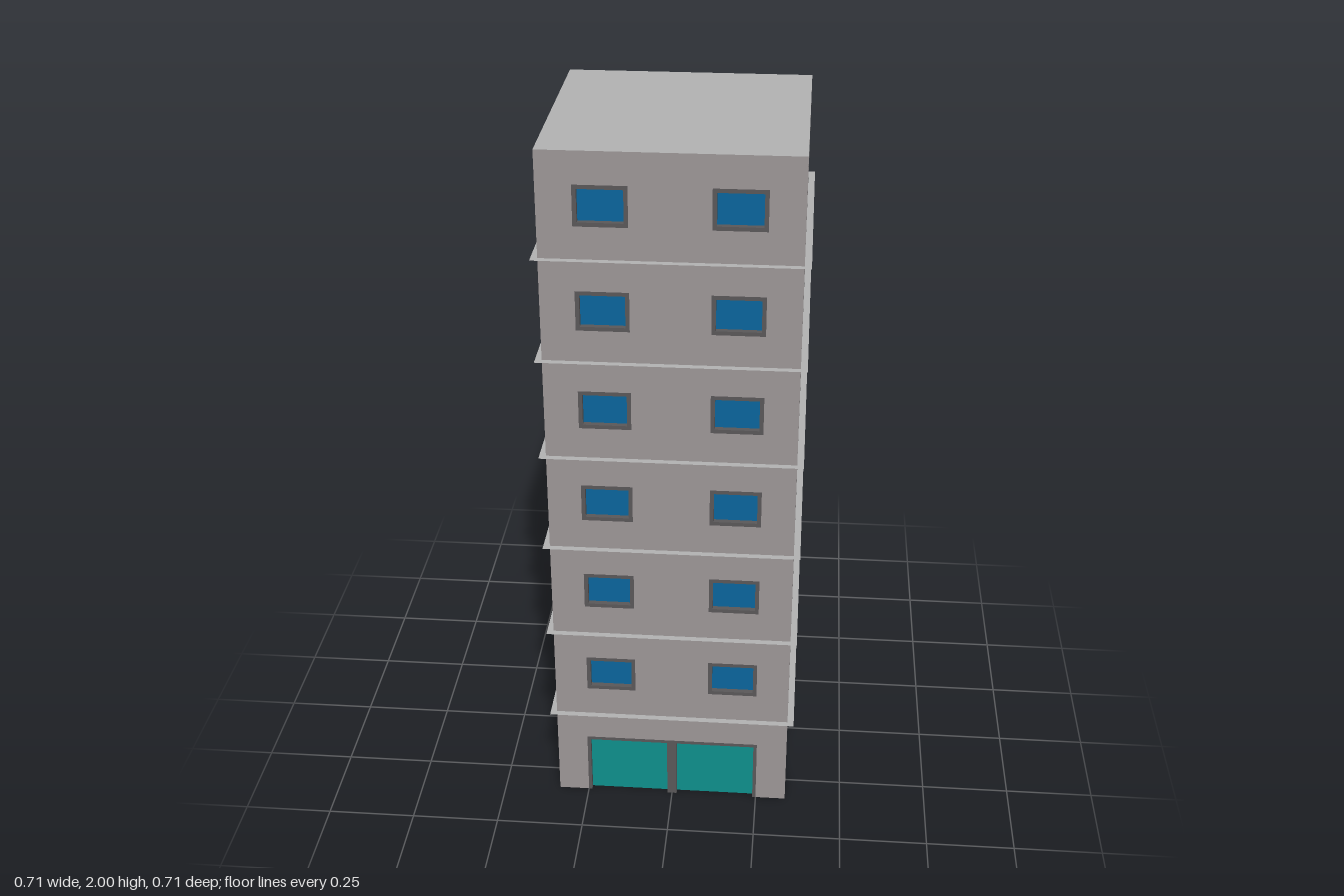
import * as THREE from 'three';

const HALF = 0.337, LEDGE = 0.355, FLOORS = 7, STOREY = 2 / FLOORS;
const DEPTH = 0.015; // how far the glass sits behind the wall face
const WIN = { x: 0.175, w: 0.14, h: 0.11, rim: 0.011 };
const DOOR = { half: 0.25, h: 0.197, rim: 0.01, post: 0.014 };

const mat = (color) => new THREE.MeshStandardMaterial({ color, side: THREE.DoubleSide });
const wallMat = mat(0x9c9696);
const slabMat = mat(0xb2b2b2);
const frameMat = mat(0x5a5859);
const glassMat = mat(0x0a659c);
const doorMat = mat(0x0e908c);

function mesh(name, geometry, material, z = 0) {
  const m = new THREE.Mesh(geometry, material);
  m.name = name;
  m.position.z = z;
  return m;
}

const polygon = (pts) => new THREE.Shape(pts.map(([x, y]) => new THREE.Vector2(x, y)));

const rect = (cx, cy, w, h) => polygon([
  [cx - w / 2, cy - h / 2], [cx + w / 2, cy - h / 2],
  [cx + w / 2, cy + h / 2], [cx - w / 2, cy + h / 2],
]);

const recessed = (shape) => new THREE.ExtrudeGeometry(shape, { depth: DEPTH, bevelEnabled: false });

// One side of the tower, facing +z
function facade() {
  const g = new THREE.Group();
  const { half: d, h, rim, post } = DOOR;

  // Wall sheet with a door notch and window holes
  const wall = polygon([
    [-HALF, 0], [-d, 0], [-d, h], [d, h], [d, 0], [HALF, 0], [HALF, 2], [-HALF, 2],
  ]);

  // Two windows on each upper storey
  for (let floor = 1; floor < FLOORS; floor++) {
    const y = (floor + 0.5) * STOREY;
    for (const x of [-WIN.x, WIN.x]) {
      wall.holes.push(rect(x, y, WIN.w, WIN.h));
      const w = WIN.w - 2 * WIN.rim, ph = WIN.h - 2 * WIN.rim;
      const frame = rect(x, y, WIN.w, WIN.h);
      frame.holes.push(rect(x, y, w, ph));
      g.add(mesh('windowFrame', recessed(frame), frameMat, HALF - DEPTH));
      g.add(mesh('windowPane', new THREE.ShapeGeometry(rect(x, y, w, ph)), glassMat, HALF - DEPTH));
    }
  }
  g.add(mesh('wall', new THREE.ShapeGeometry(wall), wallMat, HALF));

  // Double entrance: surround with a centre post, open at the ground
  const inner = d - rim, top = h - rim;
  const surround = polygon([
    [-d, 0], [-inner, 0], [-inner, top], [-post, top], [-post, 0], [post, 0],
    [post, top], [inner, top], [inner, 0], [d, 0], [d, h], [-d, h],
  ]);
  g.add(mesh('doorFrame', recessed(surround), frameMat, HALF - DEPTH));
  for (const s of [-1, 1]) {
    const leaf = rect(s * (inner + post) / 2, top / 2, inner - post, top);
    g.add(mesh('doorPanel', new THREE.ShapeGeometry(leaf), doorMat, HALF - DEPTH));
  }
  return g;
}

export function createModel() {
  const model = new THREE.Group();
  model.name = 'towerBlock';

  ['front', 'left', 'back', 'right'].forEach((side, i) => {
    const f = facade();
    f.name = side + 'Facade';
    f.rotation.y = i * Math.PI / 2;
    model.add(f);
  });

  // Flat roof
  const roof = mesh('roof', new THREE.PlaneGeometry(2 * HALF, 2 * HALF).rotateX(-Math.PI / 2), slabMat);
  roof.position.y = 2;
  model.add(roof);

  // Thin ledge around the tower between storeys
  const ring = rect(0, 0, 2 * LEDGE, 2 * LEDGE);
  ring.holes.push(rect(0, 0, 2 * HALF, 2 * HALF));
  const ledgeGeometry = new THREE.ShapeGeometry(ring).rotateX(-Math.PI / 2);
  for (let floor = 1; floor < FLOORS; floor++) {
    const ledge = mesh('ledge', ledgeGeometry, slabMat);
    ledge.position.y = floor * STOREY;
    model.add(ledge);
  }
  return model;
}
